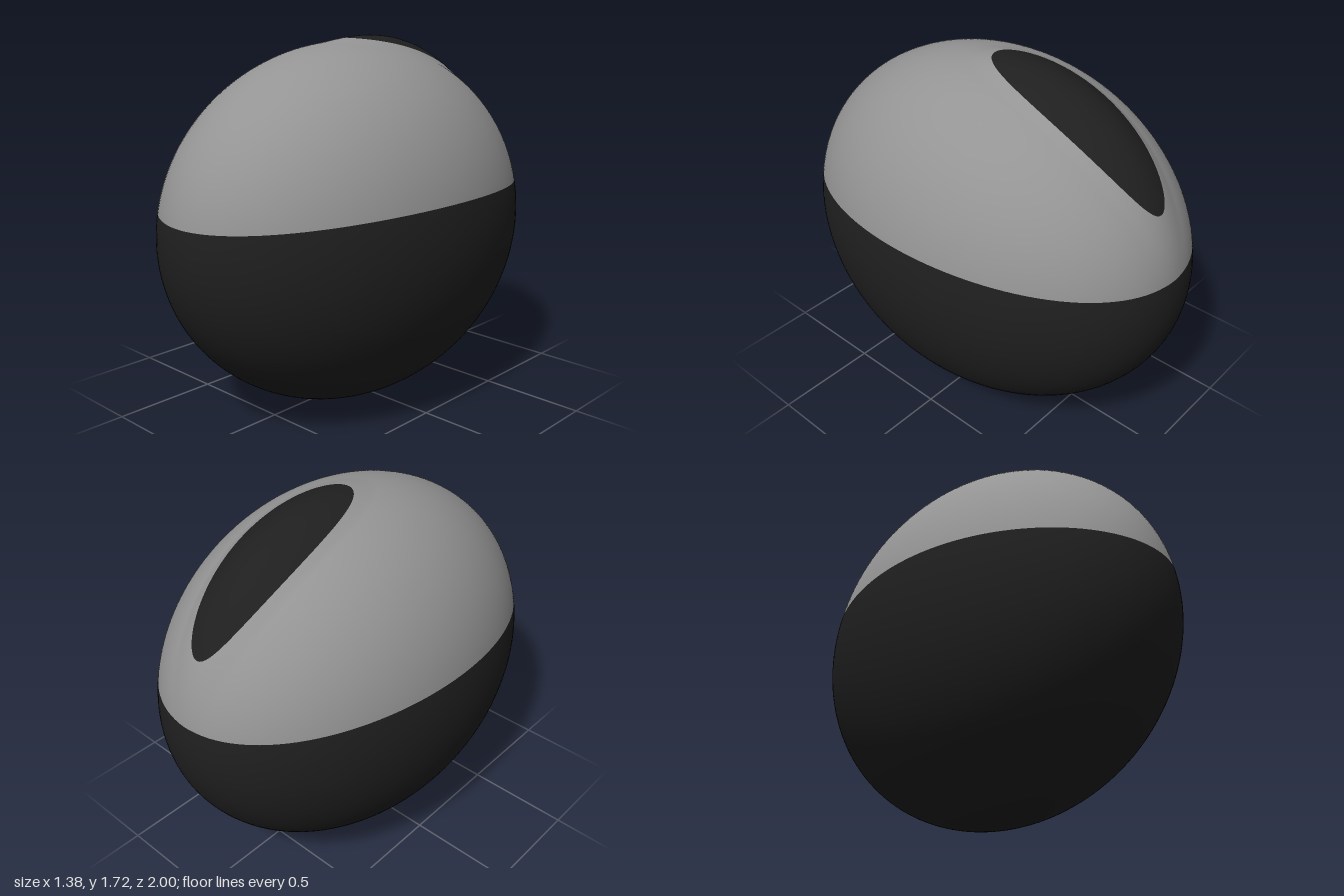
import * as THREE from 'three';

const RX = 0.688, RY = 0.848, RZ = 1.0; // egg half-sizes
const SEG = 128;
const PATCH = { z: -0.435, rx: 0.168, rz: 0.443 }; // raised oval on top, towards the back

// Point on the egg for a unit direction, swollen smoothly around the oval
function surfacePoint(u) {
  const p = new THREE.Vector3(u.x * RX, u.y * RY, u.z * RZ);
  const r2 = (p.x / PATCH.rx) ** 2 + ((p.z - PATCH.z) / PATCH.rz) ** 2;
  const f = 1 - r2 / 1.3 ** 2;
  if (u.y > 0 && f > 0) {
    const n = new THREE.Vector3(u.x / RX, u.y / RY, u.z / RZ).normalize();
    p.addScaledVector(n, 0.045 * f ** 1.5);
  }
  p.y += RY;
  return p;
}

// Border of the oval, as a unit direction
function ovalDir(a, s = 1) {
  const x = s * PATCH.rx * Math.cos(a) / RX;
  const z = (PATCH.z + s * PATCH.rz * Math.sin(a)) / RZ;
  return new THREE.Vector3(x, Math.sqrt(1 - x * x - z * z), z);
}

// Border between cover and base: slightly higher at the sides
function beltDir(a) {
  const y = (1.035 - 0.055 * Math.sin(a) ** 2 - RY) / RY;
  const k = Math.sqrt(1 - y * y);
  return new THREE.Vector3(k * Math.cos(a), y, k * Math.sin(a));
}

function slerp(a, b, t) {
  const w = a.angleTo(b);
  return a.clone().multiplyScalar(Math.sin((1 - t) * w) / Math.sin(w))
    .addScaledVector(b, Math.sin(t * w) / Math.sin(w));
}

export function createModel() {
  const group = new THREE.Group();
  group.name = 'egg';
  const grey = new THREE.MeshStandardMaterial({ color: 0x949494 });
  grey.name = 'grey';
  const black = new THREE.MeshStandardMaterial({ color: 0x1f1f1f });
  black.name = 'black';

  // Rings run from the middle of the oval, over the cover, down to the bottom
  const bottom = new THREE.Vector3(0, -1, 0);
  const nOval = 20, nCover = 56, nBase = 48;
  const rings = [];
  for (let i = 0; i <= nOval; i++) rings.push(a => ovalDir(a, Math.max(i / nOval, 1e-4)));
  for (let i = 1; i <= nCover; i++) {
    const t = (i / nCover) ** 1.5; // closer rings along the fillet
    rings.push(a => slerp(ovalDir(a), beltDir(a), t));
  }
  for (let i = 1; i <= nBase; i++) {
    const t = Math.min(i / nBase, 0.9999);
    rings.push(a => slerp(beltDir(a), bottom, t));
  }

  const positions = [];
  for (const ring of rings) {
    for (let j = 0; j < SEG; j++) positions.push(...surfacePoint(ring(j / SEG * Math.PI * 2)).toArray());
  }
  const bandIndex = (from, to) => {
    const index = [];
    for (let r = from; r < to; r++) {
      for (let j = 0; j < SEG; j++) {
        const a = r * SEG + j, b = r * SEG + (j + 1) % SEG;
        index.push(a, b, a + SEG, b, b + SEG, a + SEG);
      }
    }
    return index;
  };

  // Shared normals keep the skin smooth across the colour borders
  const skin = new THREE.BufferGeometry();
  skin.setAttribute('position', new THREE.Float32BufferAttribute(positions, 3));
  skin.setIndex(bandIndex(0, rings.length - 1));
  skin.computeVertexNormals();

  const addPart = (name, from, to, material) => {
    const geometry = new THREE.BufferGeometry();
    for (const key of ['position', 'normal']) {
      const src = skin.getAttribute(key).array.slice(from * SEG * 3, (to + 1) * SEG * 3);
      geometry.setAttribute(key, new THREE.BufferAttribute(src, 3));
    }
    geometry.setIndex(bandIndex(0, to - from));
    const mesh = new THREE.Mesh(geometry, material);
    mesh.name = name;
    group.add(mesh);
  };
  addPart('topOval', 0, nOval, black);
  addPart('cover', nOval, nOval + nCover, grey);
  addPart('base', nOval + nCover, rings.length - 1, black);
  return group;
}
